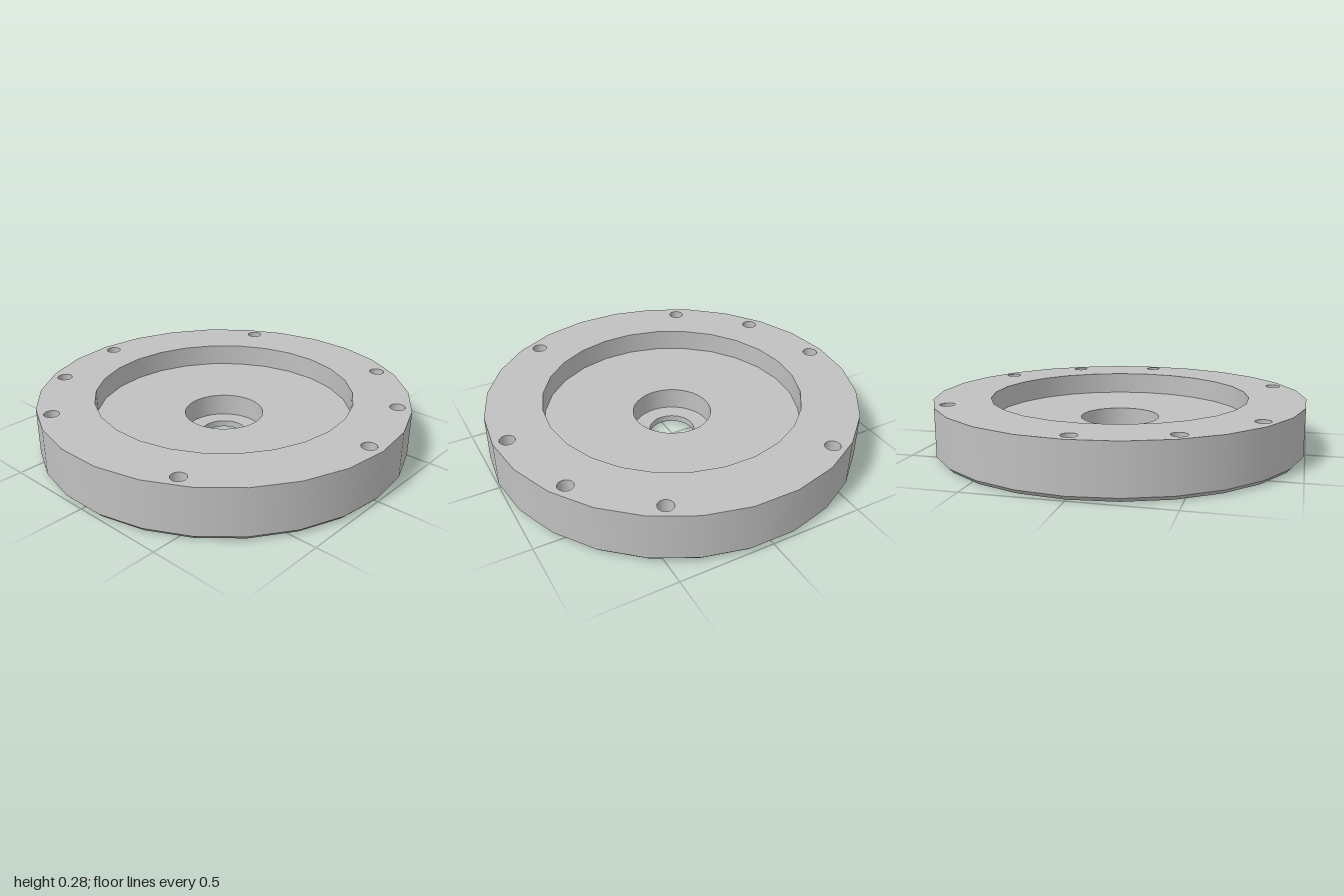
import * as THREE from 'three';

const SIDES = 26; // coarse outer rim and recess
const FINE = 40; // drilled holes
const TOP = 0.275, FLOOR = 0.155, SEAT = 0.035, CHAMFER = 0.022;

// Regular polygon outline with its first corner on +x
function ring(radius, sides, cx = 0, cy = 0, Type = THREE.Path) {
  const points = [];
  for (let i = 0; i < sides; i++) {
    const a = (i / sides) * Math.PI * 2;
    points.push(new THREE.Vector2(cx + radius * Math.cos(a), cy + radius * Math.sin(a)));
  }
  return new Type(points);
}

export function createModel() {
  const group = new THREE.Group();
  const metal = new THREE.MeshStandardMaterial({ color: 0xc0c0c0 });
  metal.name = 'grey metal';

  const add = (name, geometry, x = 0, y = 0, z = 0) => {
    const mesh = new THREE.Mesh(geometry, metal);
    mesh.name = name;
    mesh.position.set(x, y, z);
    group.add(mesh);
  };

  // Round wall: rising profiles face outward, falling profiles face inward
  const wall = (name, r1, y1, r2, y2, sides, x = 0, z = 0) =>
    add(name, new THREE.LatheGeometry(
      [new THREE.Vector2(r1, y1), new THREE.Vector2(r2, y2)], sides, Math.PI / 2), x, 0, z);

  // Flat face at height y, facing up (dir 1) or down (dir -1)
  const face = (name, radius, sides, y, dir, holes = [], x = 0, z = 0) => {
    const shape = ring(radius, sides, 0, 0, THREE.Shape);
    for (const h of holes) shape.holes.push(ring(h.r, h.sides, h.x, -dir * h.z));
    add(name, new THREE.ShapeGeometry(shape).rotateX(-dir * Math.PI / 2), x, y, z);
  };

  const onCircle = (degrees, distance, r) => {
    const a = THREE.MathUtils.degToRad(degrees);
    return { x: distance * Math.cos(a), z: distance * Math.sin(a), r, sides: FINE };
  };
  const centred = (r, sides) => ({ x: 0, z: 0, r, sides });

  const screwHoles = [0, 60, 120, 180, 240, 300, 330, 150].map(d => onCircle(d, 0.925, 0.04));
  const pockets = [15, 75, 135, 195, 255, 315].map(d => onCircle(d, 0.455, 0.105));

  // Outer body
  wall('outerWall', 1, CHAMFER, 1, TOP, SIDES);
  wall('bottomChamfer', 0.98, 0, 1, CHAMFER, SIDES);
  face('topRim', 1, SIDES, TOP, 1, [centred(0.697, SIDES), ...screwHoles]);
  face('underside', 0.98, SIDES, 0, -1, [centred(0.123, FINE), ...pockets]);

  // Recess, counterbore and through bore
  wall('recessWall', 0.697, TOP, 0.697, FLOOR, SIDES);
  face('recessFloor', 0.697, SIDES, FLOOR, 1, [centred(0.213, FINE)]);
  wall('counterboreWall', 0.213, FLOOR, 0.213, SEAT, FINE);
  face('counterboreSeat', 0.213, FINE, SEAT, 1, [centred(0.123, FINE)]);
  wall('boreWall', 0.123, SEAT, 0.123, 0, FINE);

  // Blind screw holes in the rim
  for (const h of screwHoles) {
    wall('screwHoleWall', h.r, TOP, h.r, TOP - 0.12, FINE, h.x, h.z);
    face('screwHoleFloor', h.r, FINE, TOP - 0.12, 1, [], h.x, h.z);
  }

  // Shallow pockets underneath
  for (const p of pockets) {
    wall('pocketWall', p.r, 0.037, p.r, 0, FINE, p.x, p.z);
    face('pocketCeiling', p.r, FINE, 0.037, -1, [], p.x, p.z);
  }
  return group;
}
